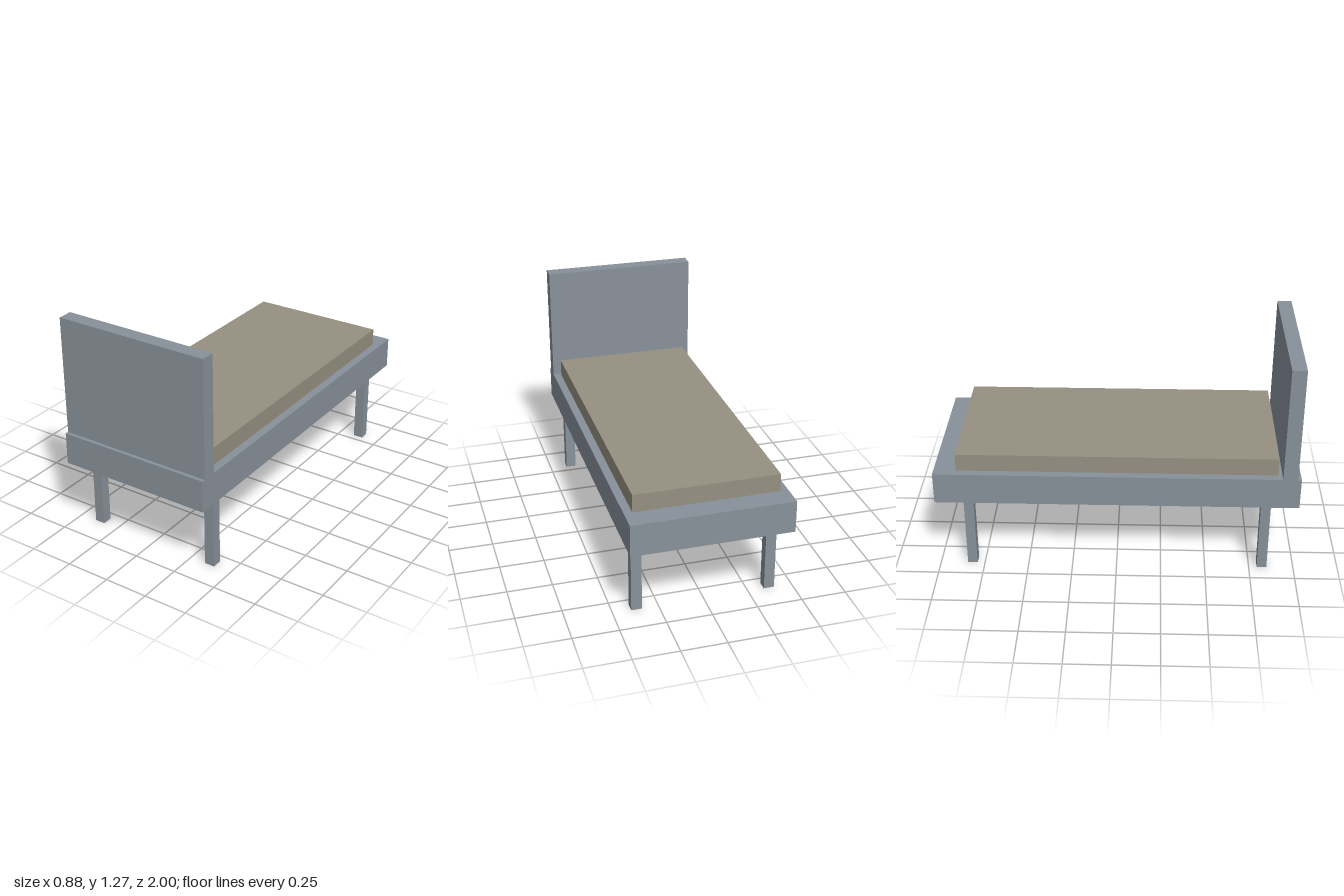
import * as THREE from 'three';

export function createModel() {
  const model = new THREE.Group();
  model.name = 'bed';

  const frameGrey = new THREE.MeshStandardMaterial({ color: 0x88919a });
  frameGrey.name = 'frame grey';
  const mattressBeige = new THREE.MeshStandardMaterial({ color: 0x959080 });
  mattressBeige.name = 'mattress beige';

  // Box spanning y0..y1 and z0..z1, centred on x
  function addBox(name, material, width, y0, y1, z0, z1, x = 0) {
    const mesh = new THREE.Mesh(new THREE.BoxGeometry(width, y1 - y0, z1 - z0), material);
    mesh.position.set(x, (y0 + y1) / 2, (z0 + z1) / 2);
    mesh.name = name;
    model.add(mesh);
  }

  // Bed base, headboard and mattress
  addBox('bedFrame', frameGrey, 0.88, 0.432, 0.612, -1, 1);
  addBox('headboard', frameGrey, 0.88, 0.612, 1.272, 0.9, 0.98);
  addBox('mattress', mattressBeige, 0.79, 0.612, 0.712, -0.877, 0.877);

  // Four square legs
  for (const [side, x] of [['left', 0.37], ['right', -0.37]]) {
    addBox(side + 'FrontLeg', frameGrey, 0.058, 0, 0.432, 0.795, 0.85, x);
    addBox(side + 'BackLeg', frameGrey, 0.058, 0, 0.432, -0.847, -0.792, x);
  }

  return model;
}
